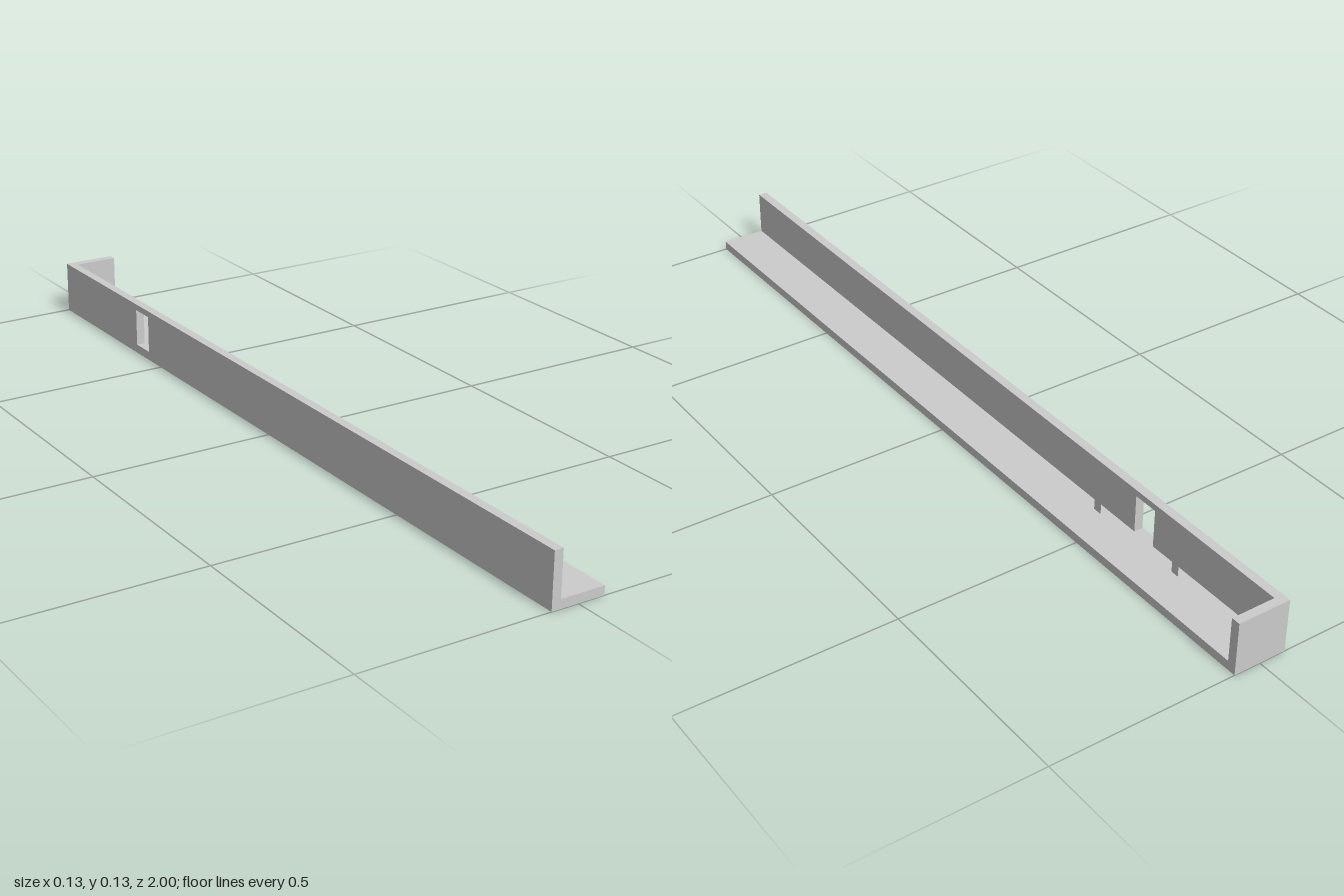
import * as THREE from 'three';

const W = 0.126;   // width and height of the channel
const T = 0.021;   // board thickness
const H = W / 2;

export function createModel() {
  const group = new THREE.Group();
  const material = new THREE.MeshStandardMaterial({ color: 0xcccccc, side: THREE.DoubleSide });

  const add = (name, geometry, x = 0, y = 0, z = 0) => {
    const mesh = new THREE.Mesh(geometry, material);
    mesh.name = name;
    mesh.position.set(x, y, z);
    group.add(mesh);
  };
  const rect = (path, x0, y0, x1, y1) =>
    path.moveTo(x0, y0).lineTo(x1, y0).lineTo(x1, y1).lineTo(x0, y1).closePath();

  // Long side wall with a window cut through it (profile x runs toward the back)
  const profile = rect(new THREE.Shape(), -1, 0, 1, W);
  profile.holes.push(rect(new THREE.Path(), 0.559, T, 0.62, 0.111));
  const wall = new THREE.ExtrudeGeometry(profile, { depth: T, bevelEnabled: false });
  wall.rotateY(Math.PI / 2);
  add('sideWall', wall, -H);

  // Floor board and closed back end
  add('floor', new THREE.BoxGeometry(W - T, T, 2), T / 2, T / 2, 0);
  add('endWall', new THREE.BoxGeometry(W - T, W - T, T), T / 2, (W + T) / 2, -1 + T / 2);

  // Thin upright strips standing just inside the wall, one each side of the window
  for (const [name, z, width] of [['frontStrip', -0.461, 0.022], ['backStrip', -0.716, 0.02]]) {
    const strip = new THREE.PlaneGeometry(width, 0.065).rotateY(Math.PI / 2);
    add(name, strip, -H + 2 * T, T + 0.0325, z);
  }
  return group;
}
